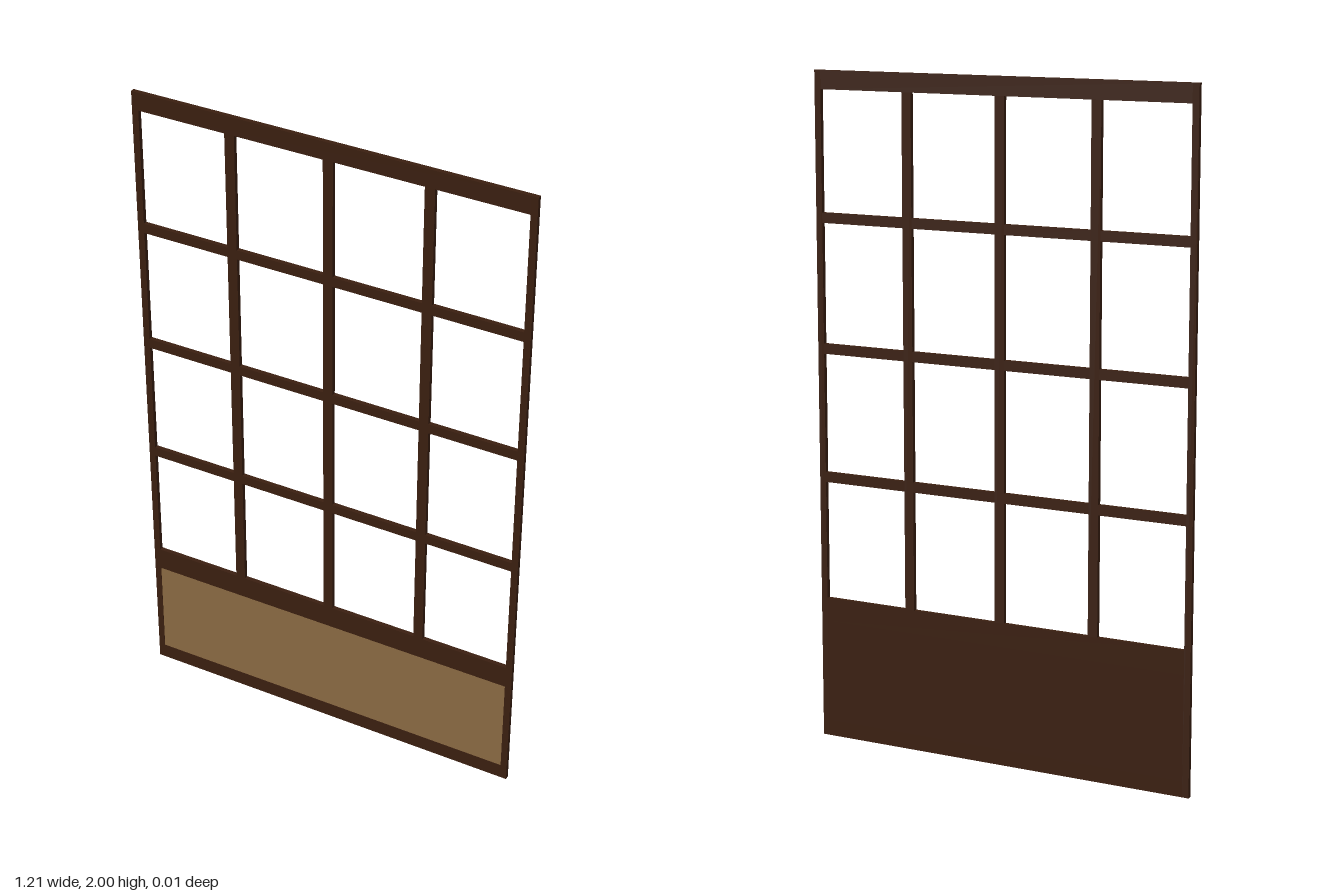
import * as THREE from 'three';

const W = 1.208, H = 2, D = 0.013;
const STILE = 0.02, TOP = 0.055, BOTTOM = 0.047, BAR = 0.03;
const MID_LOW = 0.358, MID_HIGH = 0.43;

export function createModel() {
  const model = new THREE.Group();
  model.name = 'latticeScreen';
  const wood = new THREE.MeshStandardMaterial({ color: 0x3b1f10 });
  const board = new THREE.MeshStandardMaterial({ color: 0x8b6b43 });

  // A box spanning x0..x1, y0..y1, z0..z1
  const slab = (name, x0, x1, y0, y1, z0 = -D / 2, z1 = D / 2, material = wood) => {
    const mesh = new THREE.Mesh(new THREE.BoxGeometry(x1 - x0, y1 - y0, z1 - z0), material);
    mesh.position.set((x0 + x1) / 2, (y0 + y1) / 2, (z0 + z1) / 2);
    mesh.name = name;
    model.add(mesh);
  };

  // Outer frame: stiles at the sides, rails between them
  const inner = W / 2 - STILE;
  slab('leftStile', inner, W / 2, 0, H);
  slab('rightStile', -W / 2, -inner, 0, H);
  slab('topRail', -inner, inner, H - TOP, H);
  slab('middleRail', -inner, inner, MID_LOW, MID_HIGH);
  slab('bottomRail', -inner, inner, 0, BOTTOM);

  // Lower panel: dark backing board flush at the back, lighter face at the front
  slab('panelBacking', -inner, inner, BOTTOM, MID_LOW, -D / 2, D / 4);
  slab('panelFace', -inner, inner, BOTTOM, MID_LOW, D / 4, D / 2 - 0.001, board);

  // Lattice of four by four equal openings
  const paneW = (2 * inner - 3 * BAR) / 4;
  const paneH = (H - TOP - MID_HIGH - 3 * BAR) / 4;
  for (let i = 1; i <= 3; i++) {
    const x = -inner + i * paneW + (i - 1) * BAR;
    slab('verticalBar' + i, x, x + BAR, MID_HIGH, H - TOP);
    const y = MID_HIGH + i * paneH + (i - 1) * BAR;
    // Horizontal bars are cut between the vertical ones
    for (let j = 0; j < 4; j++) {
      const left = -inner + j * (paneW + BAR);
      slab(`horizontalBar${i}_${j + 1}`, left, left + paneW, y, y + BAR);
    }
  }
  return model;
}
